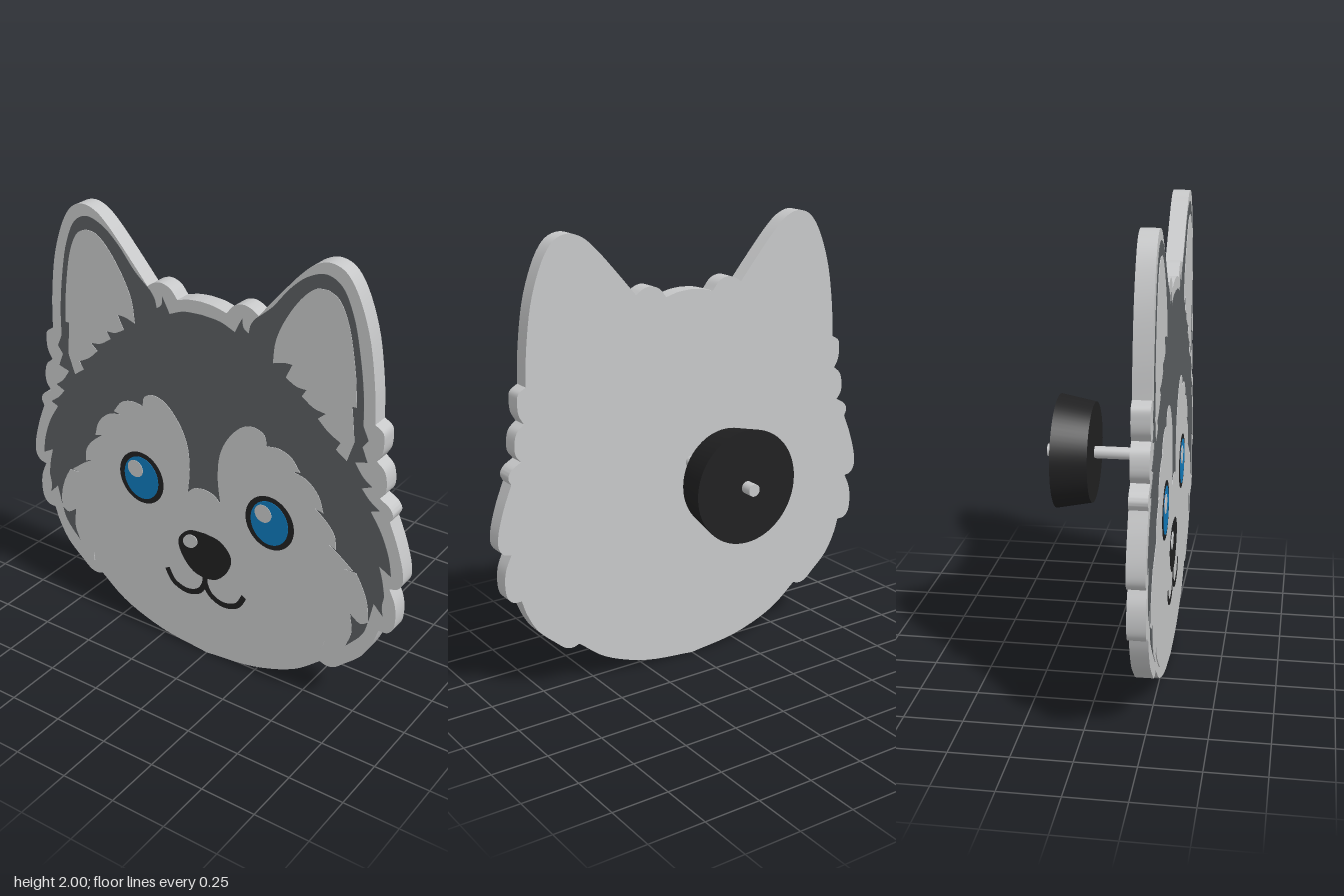
import * as THREE from 'three';
import { toCreasedNormals } from 'three/addons/utils/BufferGeometryUtils.js';

const mat = (name, color) => new THREE.MeshStandardMaterial({ name, color });

// Joins strokes of [x, y, x, y, ...] into one outline: smooth along a stroke, sharp between strokes.
function trace(strokes, samples = 5) {
  const out = [];
  let last = null;
  for (const s of strokes) {
    const pts = last ? [last] : [];
    for (let i = 0; i < s.length; i += 2) pts.push(new THREE.Vector3(s[i], s[i + 1], 0));
    const n = pts.length > 2 ? (pts.length - 1) * samples : 1;
    const run = new THREE.CatmullRomCurve3(pts, false, 'centripetal').getPoints(n);
    if (last) run.shift();
    out.push(...run.map(p => new THREE.Vector2(p.x, p.y)));
    last = pts[pts.length - 1];
  }
  return out;
}
const flip = pts => pts.map(p => new THREE.Vector2(-p.x, p.y)).reverse();

// Full symmetric outline from the half at x >= 0, listed top to bottom.
function symmetric(strokes) {
  const half = trace(strokes);
  return new THREE.Shape([...half, ...flip(half).filter(p => p.x < -1e-4)]);
}

function ellipse(x, y, rx, ry, turn = 0) {
  return new THREE.Shape().absellipse(x, y, rx, ry, 0, Math.PI * 2, false, turn);
}

// Ribbon of constant width along a curve, for the mouth.
function ribbon(points, width) {
  const curve = new THREE.SplineCurve(points.map(p => new THREE.Vector2(...p)));
  const a = [], b = [];
  for (let i = 0; i <= 24; i++) {
    const p = curve.getPoint(i / 24), t = curve.getTangent(i / 24);
    const n = new THREE.Vector2(-t.y, t.x).multiplyScalar(width / 2);
    a.push(p.clone().add(n));
    b.unshift(p.clone().sub(n));
  }
  return new THREE.Shape([...a, ...b]);
}

const FRONT = 0.27, BACK = 0.195, STEP = 0.002;

export function createModel() {
  const model = new THREE.Group();
  const light = mat('lightGrey', 0xc6c7c8);
  const dark = mat('darkGreyFur', 0x5a5e60);
  const black = mat('black', 0x202021);
  const blue = mat('eyeBlue', 0x0f79ba);

  const add = (name, geometry, material) => {
    const mesh = new THREE.Mesh(geometry, material);
    mesh.name = name;
    model.add(mesh);
    return mesh;
  };
  // Thin painted layer; a higher level lies further forward.
  const plate = (name, shape, level, material) => {
    const geo = new THREE.ExtrudeGeometry(shape, { depth: 0.004, bevelEnabled: false, curveSegments: 32 });
    geo.translate(0, 0, FRONT + level * STEP - 0.004);
    return add(name, geo, material);
  };

  // Backing plate with scalloped outline
  const outline = symmetric([
    [0, 1.71, 0.06, 1.705, 0.12, 1.69],
    [0.155, 1.73, 0.2, 1.745, 0.24, 1.735, 0.27, 1.715],
    [0.36, 1.82, 0.465, 1.935, 0.52, 1.98, 0.58, 2.0, 0.64, 1.985, 0.69, 1.93, 0.755, 1.767, 0.79, 1.56, 0.80, 1.4],
    [0.836, 1.375, 0.842, 1.33, 0.836, 1.285, 0.815, 1.247],
    [0.85, 1.215, 0.863, 1.16, 0.858, 1.12, 0.836, 1.09],
    [0.883, 1.06, 0.897, 1.03, 0.885, 1.0],
    [0.925, 0.9, 0.955, 0.79, 0.955, 0.735, 0.935, 0.705, 0.9, 0.695],
    [0.928, 0.63, 0.935, 0.56, 0.925, 0.505, 0.9, 0.48, 0.862, 0.477],
    [0.84, 0.41, 0.79, 0.32, 0.71, 0.245, 0.66, 0.205, 0.625, 0.198, 0.593, 0.207],
    [0.465, 0.11, 0.254, 0.032, 0, 0],
  ]);
  const base = new THREE.ExtrudeGeometry(outline, { depth: FRONT - BACK, bevelEnabled: false });
  base.translate(0, 0, BACK);
  add('backingPlate', toCreasedNormals(base, 0.5), light);

  // Dark fur with tufted edge
  plate('darkFur', symmetric([
    [0, 1.655, 0.09, 1.647, 0.16, 1.62], [0.175, 1.65, 0.195, 1.687], [0.2, 1.65, 0.225, 1.63],
    [0.235, 1.67, 0.255, 1.7],
    [0.333, 1.767, 0.413, 1.862, 0.49, 1.926, 0.57, 1.952, 0.635, 1.922, 0.688, 1.82, 0.725, 1.66, 0.746, 1.5, 0.75, 1.38],
    [0.775, 1.325], [0.75, 1.29], [0.775, 1.23], [0.72, 1.215],
    [0.76, 1.16, 0.8, 1.13], [0.755, 1.11], [0.79, 1.07, 0.838, 1.035], [0.8, 1.02],
    [0.85, 0.94, 0.89, 0.838, 0.905, 0.755], [0.85, 0.785], [0.868, 0.72, 0.88, 0.65],
    [0.872, 0.6, 0.878, 0.555], [0.835, 0.6], [0.815, 0.505],
    [0.79, 0.43, 0.714, 0.34], [0, 0.34],
  ]), 1, dark);

  // Light face mask with cheek tufts and chin
  plate('faceMask', symmetric([
    [0, 0.856, 0.05, 0.845, 0.085, 0.815],
    [0.073, 0.93, 0.085, 1.05, 0.132, 1.146, 0.2, 1.213, 0.26, 1.227, 0.305, 1.205, 0.315, 1.16],
    [0.37, 1.167, 0.43, 1.147, 0.476, 1.09], [0.44, 1.085],
    [0.51, 1.065, 0.565, 1.01, 0.588, 0.94], [0.55, 0.95],
    [0.61, 0.9, 0.645, 0.85, 0.652, 0.79], [0.615, 0.805],
    [0.67, 0.77, 0.735, 0.72], [0.69, 0.715], [0.75, 0.715], [0.785, 0.65, 0.808, 0.58, 0.815, 0.5],
    [0.78, 0.48, 0.73, 0.51], [0.74, 0.42, 0.714, 0.34],
    [0.635, 0.265], [0.635, 0.305, 0.615, 0.325], [0.603, 0.29, 0.587, 0.26],
    [0.465, 0.16, 0.254, 0.082, 0, 0.06],
  ]), 2, light);

  // Light inside of the ears
  const ear = trace([
    [0.58, 1.894, 0.625, 1.87, 0.667, 1.793, 0.706, 1.607, 0.72, 1.45],
    [0.7, 1.45], [0.71, 1.36], [0.715, 1.3], [0.685, 1.21], [0.635, 1.245], [0.655, 1.28],
    [0.6, 1.31, 0.55, 1.355], [0.585, 1.385], [0.53, 1.395, 0.475, 1.43], [0.495, 1.462],
    [0.45, 1.465, 0.4, 1.49], [0.43, 1.552], [0.39, 1.55, 0.34, 1.535],
    [0.353, 1.634, 0.4, 1.74, 0.476, 1.846, 0.53, 1.888, 0.58, 1.894],
  ]).slice(0, -1);
  plate('leftInnerEar', new THREE.Shape(ear), 2, light);
  plate('rightInnerEar', new THREE.Shape(flip(ear)), 2, light);

  // Eyes; both glints sit toward the same side
  for (const [side, s] of [['left', 1], ['right', -1]]) {
    const x = s * 0.334;
    plate(side + 'EyeRim', ellipse(x, 0.805, 0.119, 0.125), 3, black);
    plate(side + 'Iris', ellipse(x, 0.805, 0.092, 0.103), 4, blue);
    plate(side + 'EyeGlint', ellipse(x - 0.03, 0.843, 0.041, 0.041), 5, light);
    // Half of the mouth
    plate(side + 'Mouth', ribbon([[s * 0.206, 0.385], [s * 0.17, 0.327], [s * 0.1, 0.303],
      [s * 0.035, 0.325], [s * 0.003, 0.375], [0, 0.43]], 0.026), 3, black);
  }

  // Nose
  plate('nose', symmetric([
    [0, 0.637, 0.08, 0.625, 0.13, 0.58, 0.14, 0.54, 0.115, 0.475, 0.06, 0.42, 0, 0.405],
  ]), 3, black);
  plate('noseGlint', ellipse(-0.074, 0.572, 0.041, 0.031, 0.6), 5, light);

  // Pin post and tapered clutch on the back
  const post = new THREE.CylinderGeometry(0.027, 0.027, 0.48, 32).rotateX(Math.PI / 2);
  add('pinPost', post, light).position.set(0, 0.935, -0.04);
  const clutch = new THREE.CylinderGeometry(0.22, 0.25, 0.155, 64).rotateX(Math.PI / 2);
  add('pinClutch', clutch, black).position.set(0, 0.935, -0.15);

  return model;
}
